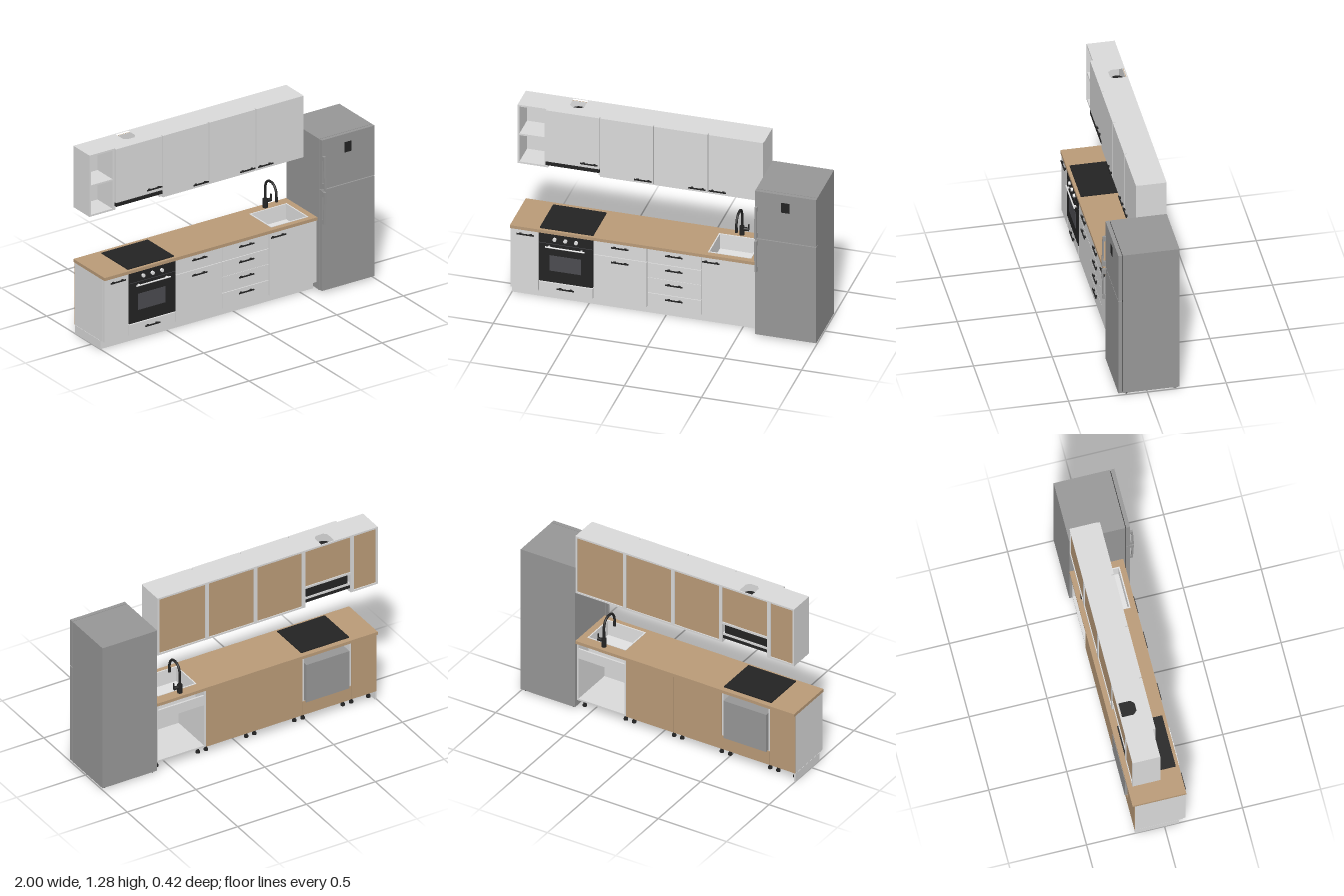
import * as THREE from 'three';

const mat = (name, color, double) => {
  const m = new THREE.MeshStandardMaterial({ color });
  m.name = name;
  if (double) m.side = THREE.DoubleSide;
  return m;
};

export function createModel() {
  const white = mat('cabinetWhite', 0xdadada);
  const grey = mat('fridgeGrey', 0x979797);
  const wood = mat('worktopWood', 0xba9b78);
  const black = mat('applianceBlack', 0x232323);
  const glass = mat('ovenGlass', 0x4b4b50);
  const steel = mat('sinkSteel', 0xe2e2e2, true);

  const root = new THREE.Group();
  root.name = 'kitchen';
  const group = (name, parent = root) => {
    const g = new THREE.Group();
    g.name = name;
    parent.add(g);
    return g;
  };
  const add = (parent, name, geo, m) => {
    const mesh = new THREE.Mesh(geo, m);
    mesh.name = name;
    parent.add(mesh);
    return mesh;
  };
  const box = (parent, name, m, x0, x1, y0, y1, z0, z1) => {
    const b = add(parent, name, new THREE.BoxGeometry(x1 - x0, y1 - y0, z1 - z0), m);
    b.position.set((x0 + x1) / 2, (y0 + y1) / 2, (z0 + z1) / 2);
    return b;
  };
  const cyl = (parent, name, m, r, h, x, y, z, axis = 'y') => {
    const c = add(parent, name, new THREE.CylinderGeometry(r, r, h, 20), m);
    c.position.set(x, y, z);
    if (axis === 'x') c.rotation.z = Math.PI / 2;
    if (axis === 'z') c.rotation.x = Math.PI / 2;
    return c;
  };
  // Horizontal board with one hole; points are [x, z]
  const slab = (parent, name, m, x0, x1, z0, z1, y0, y1, hole) => {
    const pts = (a) => a.map(([x, z]) => new THREE.Vector2(x, -z));
    const s = new THREE.Shape(pts([[x0, z0], [x1, z0], [x1, z1], [x0, z1]]));
    s.holes.push(new THREE.Path(pts(hole)));
    const g = new THREE.ExtrudeGeometry(s, { depth: y1 - y0, bevelEnabled: false });
    g.rotateX(-Math.PI / 2).translate(0, y0, 0);
    return add(parent, name, g, m);
  };
  // Bar handle on two posts, standing on a front at z
  const handle = (parent, x, y, z) => {
    const h = group('barHandle', parent);
    box(h, 'handleBar', black, x - 0.056, x + 0.056, y - 0.004, y + 0.004, z + 0.008, z + 0.014);
    for (const s of [-0.035, 0.035]) box(h, 'handlePost', black, x + s - 0.007, x + s + 0.007, y - 0.005, y + 0.005, z, z + 0.01);
  };

  const edges = [-1, -0.815, -0.462, -0.112, 0.24, 0.6];
  const T = 0.012, G = 0.003;

  // ---------- base cabinets ----------
  const base = group('baseCabinets');
  const bz = -0.188, bf = 0.118, df = 0.134;
  for (let i = 0; i < 5; i++) {
    const a = edges[i], b = edges[i + 1];
    box(base, 'sidePanel', white, a, a + T, 0.06, 0.484, bz, bf);
    box(base, 'sidePanel', white, b - T, b, 0.06, 0.484, bz, bf);
    box(base, 'floorPanel', white, a + T, b - T, 0.06, 0.072, bz, bf);
    if (i === 4) { // open-backed sink unit
      box(base, 'backRail', white, a + T, b - T, 0.37, 0.44, bz, bz + T);
      box(base, 'frontRail', white, a + T, b - T, 0.44, 0.484, bf - T, bf);
    } else {
      box(base, 'backPanel', wood, a + 0.001, b - 0.001, 0.061, i === 1 ? 0.16 : 0.483, bz - 0.004, bz);
    }
    for (const x of [a + 0.03, b - 0.03]) for (const z of [-0.14, 0.05]) {
      cyl(base, 'leg', black, 0.008, 0.06, x, 0.03, z);
      cyl(base, 'legFoot', black, 0.014, 0.012, x, 0.006, z);
      cyl(base, 'legCap', black, 0.014, 0.014, x, 0.053, z);
    }
  }
  box(base, 'frontPlinth', white, -1, 0.6, 0, 0.058, 0.08, 0.092);
  box(base, 'sidePlinth', white, -1, -0.988, 0, 0.058, bz, 0.08);

  // fronts: [cabinet, y0, y1, handle x or null, handle y]
  const fronts = [
    [0, 0.06, 0.482, -0.9, 0.455],
    [1, 0.06, 0.13, -0.64, 0.098],
    [2, 0.385, 0.482, -0.287, 0.455], [2, 0.06, 0.381, -0.287, 0.35],
    [3, 0.385, 0.482, 0.064, 0.455], [3, 0.278, 0.381, 0.064, 0.35],
    [3, 0.169, 0.276, 0.064, 0.245], [3, 0.06, 0.165, 0.064, 0.138],
    [4, 0.06, 0.482, 0.305, 0.455],
  ];
  for (const [i, y0, y1, hx, hy] of fronts) {
    box(base, 'baseFront', white, edges[i] + G, edges[i + 1] - G, y0, y1, bf, df);
    handle(base, hx, hy, df);
  }

  // ---------- worktop, sink, tap, hob ----------
  const sx0 = 0.28, sx1 = 0.55, sz0 = -0.13, sz1 = 0.1;
  slab(root, 'worktop', wood, -1, 0.6, -0.205, 0.14, 0.484, 0.505,
    [[sx0, sz0], [sx1, sz0], [sx1, sz1], [sx0, sz1]]);
  const sink = group('sink');
  const rim = 0.01, sb = 0.4, r = 0.003;
  slab(sink, 'sinkRim', steel, sx0 - rim / 2, sx1 + rim / 2, sz0 - rim / 2, sz1 + rim / 2, 0.505, 0.508,
    [[sx0 + r, sz0 + r], [sx1 - r, sz0 + r], [sx1 - r, sz1 - r], [sx0 + r, sz1 - r]]);
  box(sink, 'bowlFloor', steel, sx0, sx1, sb, sb + r, sz0, sz1);
  for (const [a, b] of [[sx0, sx0 + r], [sx1 - r, sx1]]) box(sink, 'bowlSide', steel, a, b, sb, 0.505, sz0, sz1);
  for (const [a, b] of [[sz0, sz0 + r], [sz1 - r, sz1]]) box(sink, 'bowlEnd', steel, sx0, sx1, sb, 0.505, a, b);
  cyl(sink, 'drain', grey, 0.022, 0.004, 0.415, sb + 0.004, -0.02);
  cyl(sink, 'drainPipe', steel, 0.018, 0.05, 0.415, sb - 0.025, -0.02);

  const tap = group('tap');
  const tx = 0.415, tz = -0.165;
  cyl(tap, 'tapBase', black, 0.016, 0.06, tx, 0.535, tz);
  const path = new THREE.CatmullRomCurve3([[0.53, 0], [0.6, 0], [0.65, 0], [0.69, 0.02], [0.704, 0.06],
    [0.69, 0.1], [0.65, 0.122], [0.61, 0.124]].map(([y, z]) => new THREE.Vector3(tx, y, tz + z)));
  add(tap, 'tapSpout', new THREE.TubeGeometry(path, 40, 0.008, 12), black);
  cyl(tap, 'tapNozzle', black, 0.01, 0.03, tx, 0.605, tz + 0.124);
  cyl(tap, 'tapLeverHub', black, 0.012, 0.035, tx + 0.026, 0.548, tz, 'x');
  box(tap, 'tapLever', black, tx + 0.041, tx + 0.046, 0.545, 0.585, tz - 0.005, tz + 0.005);

  const hob = group('hob');
  box(hob, 'hobPlate', black, -0.812, -0.465, 0.505, 0.512, -0.17, 0.12);
  box(hob, 'hobBody', black, -0.79, -0.49, 0.445, 0.484, -0.15, 0.1);

  // ---------- oven ----------
  const oven = group('oven');
  box(oven, 'ovenBody', grey, -0.795, -0.482, 0.155, 0.43, -0.203, bf);
  box(oven, 'ovenFront', black, -0.812, -0.465, 0.138, 0.482, bf, 0.136);
  box(oven, 'ovenWindow', glass, -0.745, -0.54, 0.22, 0.33, 0.136, 0.138);
  box(oven, 'doorGap', glass, -0.812, -0.465, 0.412, 0.415, 0.136, 0.137);
  cyl(oven, 'ovenHandle', steel, 0.005, 0.255, -0.64, 0.393, 0.151, 'x');
  for (const x of [-0.745, -0.535]) box(oven, 'ovenHandlePost', steel, x - 0.006, x + 0.006, 0.388, 0.398, 0.136, 0.15);
  for (const x of [-0.71, -0.64, -0.57]) cyl(oven, 'ovenKnob', steel, 0.012, 0.014, x, 0.449, 0.142, 'z');

  // ---------- wall cabinets ----------
  const wall = group('wallCabinets');
  const wz = -0.205, wf = -0.027, wd = -0.01, top = 1.28, low = 0.86;
  for (let i = 0; i < 5; i++) {
    const a = edges[i], b = edges[i + 1], hood = i === 1;
    const backLow = hood ? 1.01 : low + T;
    box(wall, 'sidePanel', white, a, a + T, low, top, wz, wf);
    box(wall, 'sidePanel', white, b - T, b, low, top, wz, wf);
    box(wall, 'backPanel', wood, a + T, b - T, backLow, top - T, wz + 0.006, wz + 0.01);
    box(wall, 'backLining', white, a + T, b - T, backLow, top - T, wz + 0.01, wz + 0.013);
    if (hood) {
      slab(wall, 'ductTop', white, a + T, b - T, wz, wf, top - T, top,
        [[-0.688, -0.197], [-0.594, -0.197], [-0.594, -0.118], [-0.615, -0.095], [-0.667, -0.095], [-0.688, -0.118]]);
      box(wall, 'hoodRail', white, a + T, b - T, 0.995, 1.01, wz, wz + 0.03);
    } else {
      box(wall, 'topPanel', white, a + T, b - T, top - T, top, wz, wf);
      box(wall, 'bottomPanel', white, a + T, b - T, low, low + T, wz, wf);
    }
    if (i > 0) box(wall, 'wallDoor', white, a + G, b - G, hood ? 0.912 : low, top, wf, wd);
  }
  box(wall, 'openShelf', white, -0.988, -0.827, 1.062, 1.074, wz + 0.013, wf);
  for (const [x, y] of [[-0.53, 0.942], [-0.18, 0.885], [0.172, 0.885], [0.305, 0.885]]) handle(wall, x, y, wd);

  // ---------- cooker hood ----------
  const hoodG = group('cookerHood');
  box(hoodG, 'hoodTray', black, -0.803, -0.474, 0.887, 0.91, -0.195, -0.027);
  box(hoodG, 'hoodFront', black, -0.812, -0.465, 0.887, 0.91, -0.027, -0.008);
  box(hoodG, 'hoodMotorBox', black, -0.79, -0.487, 0.925, 0.985, -0.19, -0.035);
  box(hoodG, 'hoodMotorBase', white, -0.803, -0.474, 0.91, 0.925, -0.195, -0.03);
  cyl(hoodG, 'hoodDuct', black, 0.045, 0.25, -0.641, 1.11, -0.147);
  for (const x of [-0.74, -0.54]) cyl(hoodG, 'hoodLamp', glass, 0.014, 0.004, x, 0.886, -0.05);

  // ---------- fridge ----------
  const fridge = group('fridge');
  box(fridge, 'fridgeBody', grey, 0.603, 1, 0.013, 1.046, -0.205, 0.155);
  box(fridge, 'doorSeal', black, 0.608, 0.995, 0.02, 1.04, 0.155, 0.16);
  box(fridge, 'lowerDoor', grey, 0.603, 1, 0.015, 0.703, 0.159, 0.184);
  box(fridge, 'upperDoor', grey, 0.603, 1, 0.709, 1.046, 0.159, 0.184);
  box(fridge, 'controlPanel', black, 0.773, 0.826, 0.92, 0.99, 0.184, 0.186);
  for (const x of [0.625, 0.978]) for (const z of [0.13, -0.18]) cyl(fridge, 'fridgeFoot', black, 0.01, 0.014, x, 0.007, z);
  cyl(fridge, 'centreFoot', steel, 0.014, 0.012, 0.8, 0.007, -0.02);
  // tapered door handles, mirrored about the gap between the doors
  for (const [y, s] of [[0.717, 1], [0.695, -1]]) {
    const pts = [[0.184, 0], [0.21, 0], [0.204, 0.221], [0.184, 0.221], [0.184, 0.19], [0.195, 0.19], [0.199, 0.035], [0.184, 0.035]];
    const shape = new THREE.Shape(pts.map(([z, d]) => new THREE.Vector2(z, y + s * d)));
    const g = new THREE.ExtrudeGeometry(shape, { depth: 0.015, bevelEnabled: false });
    g.rotateY(-Math.PI / 2).translate(0.62, 0, 0);
    add(fridge, 'doorHandle', g, grey);
  }
  return root;
}
